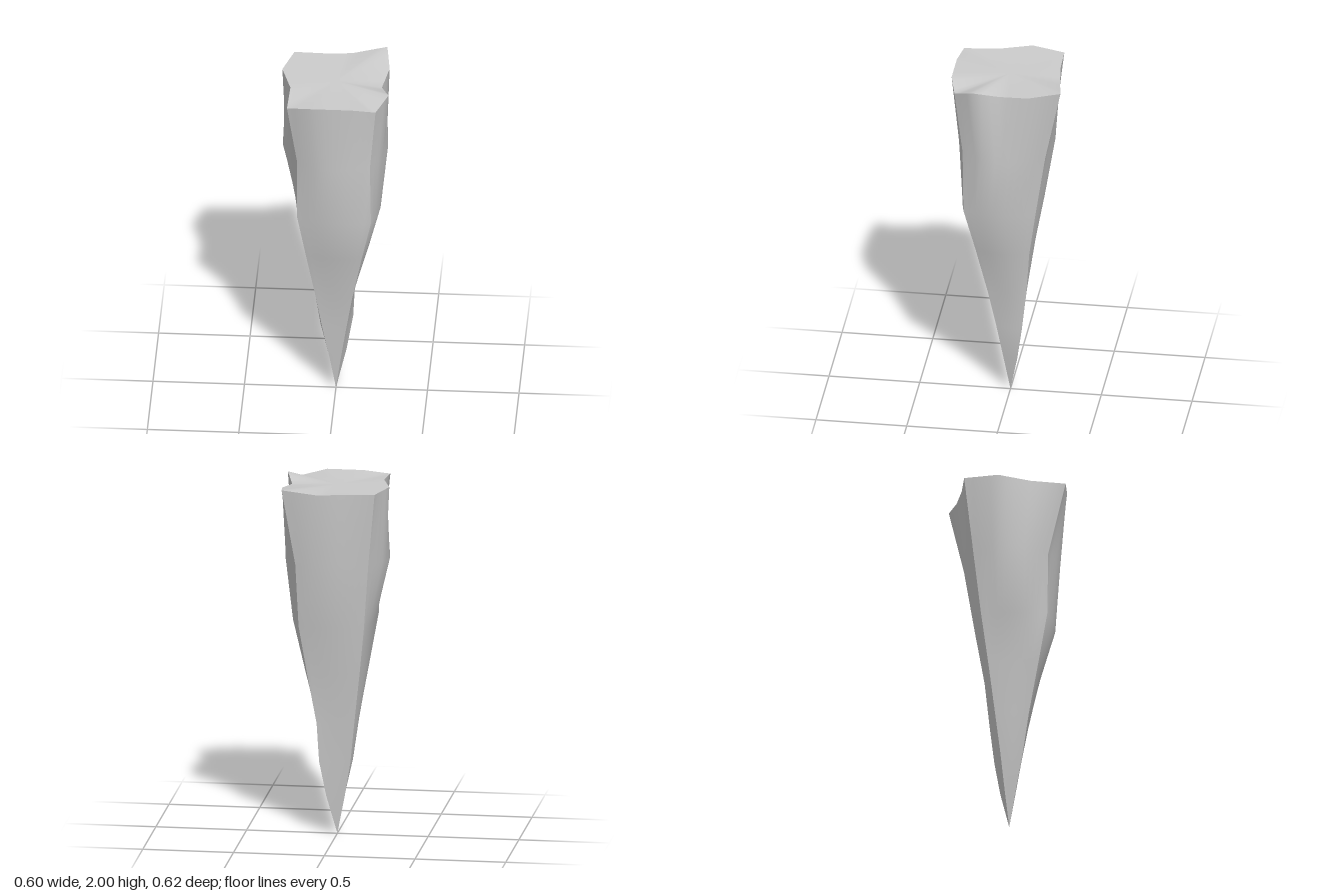
import * as THREE from 'three';

const STEPS = 12; // samples along each side

// Cross-sections: height, four corners (x, z) counter-clockwise from front left,
// and how far the front, right, back and left sides bulge.
const sections = [
  { y: 0, corners: [[0, 0], [0, 0], [0, 0], [0, 0]], bulge: [0, 0, 0, 0] },
  { y: 0.22, corners: [[-0.035, 0.035], [0.03, 0.037], [0.055, -0.045], [-0.045, -0.03]], bulge: [0, 0, 0, 0] },
  { y: 0.42, corners: [[-0.07, 0.07], [0.06, 0.07], [0.09, -0.075], [-0.08, -0.055]], bulge: [0, 0, 0, 0.01] },
  { y: 0.64, corners: [[-0.105, 0.1], [0.095, 0.11], [0.1, -0.1], [-0.105, -0.085]], bulge: [0, 0, 0, 0.01] },
  { y: 0.93, corners: [[-0.155, 0.15], [0.15, 0.17], [0.15, -0.125], [-0.14, -0.125]], bulge: [0.015, 0.03, 0.01, 0.01] },
  { y: 1.2, corners: [[-0.2, 0.195], [0.205, 0.23], [0.19, -0.165], [-0.17, -0.165]], bulge: [0.04, 0.05, 0.02, 0.015] },
  { y: 1.56, corners: [[-0.2, 0.2], [0.2, 0.235], [0.2, -0.22], [-0.2, -0.21]], bulge: [0.06, 0.085, 0.03, 0.09] },
];

// Broken upper rim, one polyline per side
const FL = [-0.25, 1.96, 0.292], FR = [0.233, 1.94, 0.275];
const BR = [0.262, 2.0, -0.313], BL = [-0.243, 1.98, -0.262];
const rim = [
  [FL, [-0.1, 1.97, 0.31], [0.1, 1.97, 0.31], FR],
  [FR, [0.297, 1.985, 0.167], [0.253, 1.95, 0.03], [0.285, 1.97, -0.135], BR],
  [BR, [0.07, 1.97, -0.283], [-0.08, 1.975, -0.265], BL],
  [BL, [-0.298, 1.98, -0.08], [-0.243, 1.975, 0.1], FL],
];

function sectionPoint({ y, corners, bulge }, side, t) {
  const [ax, az] = corners[side];
  const [bx, bz] = corners[(side + 1) % 4];
  const dx = bx - ax, dz = bz - az;
  const out = (bulge[side] * Math.sin(Math.PI * t)) / (Math.hypot(dx, dz) || 1);
  return [ax + dx * t - dz * out, y, az + dz * t + dx * out];
}

function rimPoint(side, t) {
  const line = rim[side];
  const f = t * (line.length - 1);
  const i = Math.min(Math.floor(f), line.length - 2);
  return line[i].map((v, k) => v + (line[i + 1][k] - v) * (f - i));
}

function makeMesh(name, points, index) {
  const geometry = new THREE.BufferGeometry();
  geometry.setAttribute('position', new THREE.Float32BufferAttribute(points.flat(), 3));
  geometry.setIndex(index);
  geometry.computeVertexNormals();
  const mesh = new THREE.Mesh(geometry, new THREE.MeshStandardMaterial({ color: 0xcccccc }));
  mesh.name = name;
  return mesh;
}

// One smooth side running from the tip up to the rim
function makeSide(name, side) {
  const points = [], index = [];
  for (let row = 0; row <= sections.length; row++) {
    for (let j = 0; j <= STEPS; j++) {
      const t = j / STEPS;
      points.push(row < sections.length ? sectionPoint(sections[row], side, t) : rimPoint(side, t));
      if (row === sections.length || j === STEPS) continue;
      const a = row * (STEPS + 1) + j, c = a + STEPS + 1;
      if (row > 0) index.push(a, a + 1, c + 1);
      index.push(a, c + 1, c);
    }
  }
  return makeMesh(name, points, index);
}

// Slightly uneven top face
function makeTop() {
  const points = [[0, 1.965, 0]], index = [];
  const count = 4 * STEPS;
  for (let i = 0; i < count; i++) {
    points.push(rimPoint(Math.floor(i / STEPS), (i % STEPS) / STEPS));
    index.push(0, i + 1, ((i + 1) % count) + 1);
  }
  return makeMesh('topFace', points, index);
}

export function createModel() {
  const group = new THREE.Group();
  group.name = 'rockSpike';
  ['frontSide', 'rightSide', 'backSide', 'leftSide'].forEach((name, side) => {
    // The model's own left is +x
    const label = { rightSide: 'leftSide', leftSide: 'rightSide' }[name] ?? name;
    group.add(makeSide(label, side));
  });
  group.add(makeTop());
  return group;
}
